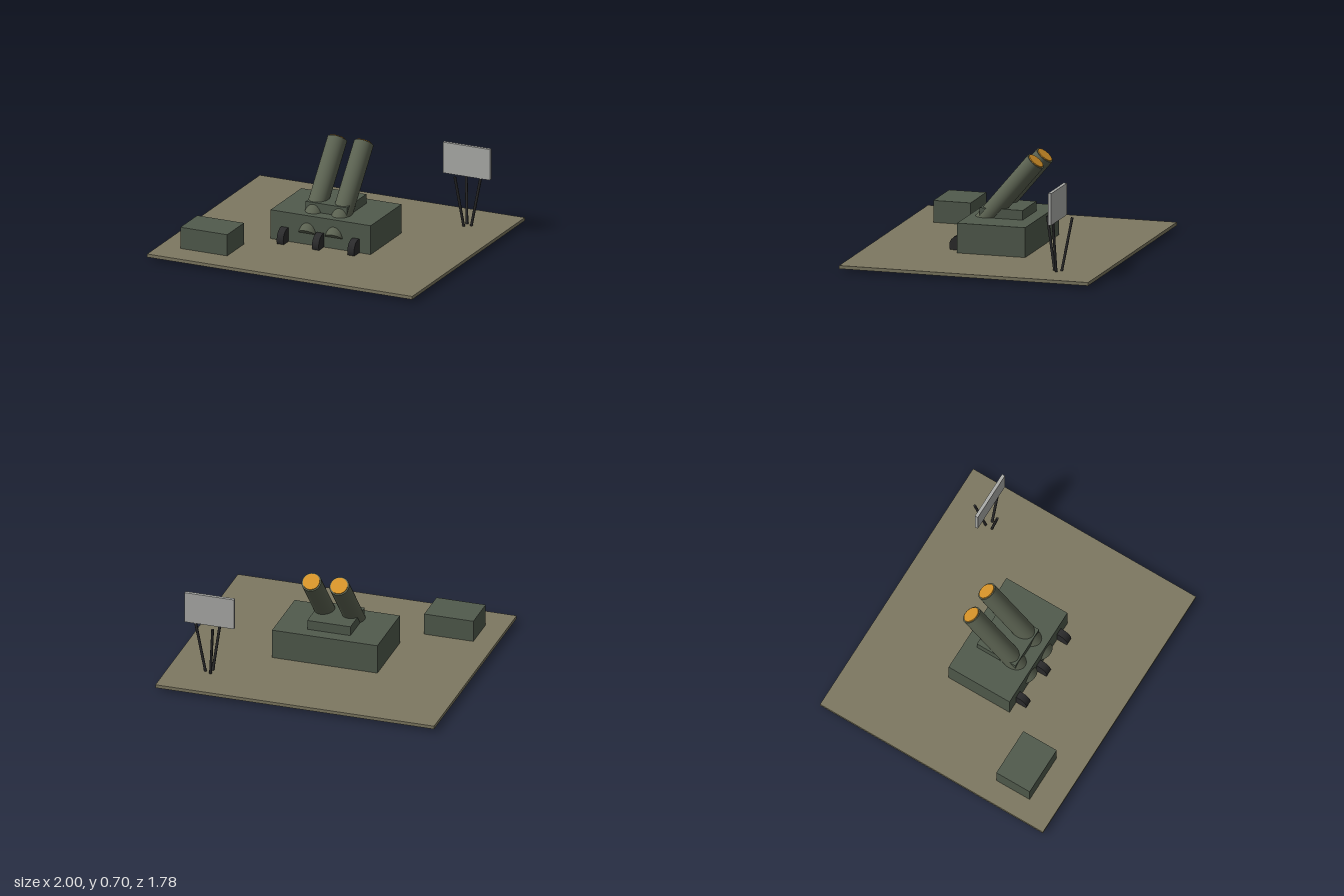
import * as THREE from 'three';

const paint = (name, color) => {
  const m = new THREE.MeshStandardMaterial({ color });
  m.name = name;
  return m;
};

export function createModel() {
  const model = new THREE.Group();
  model.name = 'launcherSite';

  const sand = paint('sand', 0x7d7861);
  const green = paint('fieldGreen', 0x515b4d);
  const tubeGreen = paint('tubeGreen', 0x5b6251);
  const dark = paint('darkRubber', 0x2b2b2c);
  const grey = paint('panelGrey', 0xadaeab);
  const orange = paint('orange', 0xd8952a);

  const add = (name, geometry, material, parent = model) => {
    const mesh = new THREE.Mesh(geometry, material);
    mesh.name = name;
    parent.add(mesh);
    return mesh;
  };

  // Box given by its extents on each axis
  const box = (name, material, [x0, x1], [y0, y1], [z0, z1]) =>
    add(name, new THREE.BoxGeometry(x1 - x0, y1 - y0, z1 - z0), material)
      .position.set((x0 + x1) / 2, (y0 + y1) / 2, (z0 + z1) / 2);

  // Cylinder running between two points
  const rod = (name, material, a, b, radius, sides) => {
    const dir = b.clone().sub(a);
    const mesh = add(name, new THREE.CylinderGeometry(radius, radius, dir.length(), sides), material);
    mesh.position.copy(a).add(b).multiplyScalar(0.5);
    mesh.quaternion.setFromUnitVectors(new THREE.Vector3(0, 1, 0), dir.normalize());
  };

  // Ground, launcher body, turntable and equipment crate
  box('groundPlate', sand, [-1, 1], [0.019, 0.042], [-0.889, 0.889]);
  box('launcherBody', green, [-0.378, 0.378], [0.03, 0.25], [-0.243, 0.243]);
  box('turntable', green, [-0.155, 0.155], [0.24, 0.317], [-0.154, 0.154]);
  box('equipmentCrate', green, [-0.845, -0.492], [0.0185, 0.195], [0.423, 0.689]);

  // Wheels along the front edge
  for (const x of [-0.267, 0, 0.267]) {
    const wheel = add('wheel', new THREE.CylinderGeometry(0.072, 0.072, 0.05, 20), dark);
    wheel.rotation.z = Math.PI / 2;
    wheel.position.set(x, 0.072, 0.255);
  }

  // Launch tubes, tilted back 40 degrees, each with a muzzle cover
  for (const x of [-0.1, 0.1]) {
    const launcher = new THREE.Group();
    launcher.name = 'launchTube';
    launcher.position.set(x, 0.381, -0.001);
    launcher.rotation.x = -40 * Math.PI / 180;
    model.add(launcher);
    add('tube', new THREE.CylinderGeometry(0.069, 0.069, 0.712, 28), tubeGreen, launcher);
    add('muzzleCover', new THREE.CylinderGeometry(0.059, 0.059, 0.009, 28), orange, launcher)
      .position.y = 0.3585;
  }

  // Radar panel on three splayed legs
  box('radarPanel', grey, [0.535, 0.89], [0.397, 0.619], [-0.591, -0.568]);
  for (let i = 0; i < 3; i++) {
    const a = i * Math.PI * 2 / 3;
    const at = (r, y) => new THREE.Vector3(0.714 + r * Math.cos(a), y, -0.58 + r * Math.sin(a));
    rod('radarLeg', dark, at(0.028, 0.032), at(0.103, 0.41), 0.0095, 10);
  }

  return model;
}
